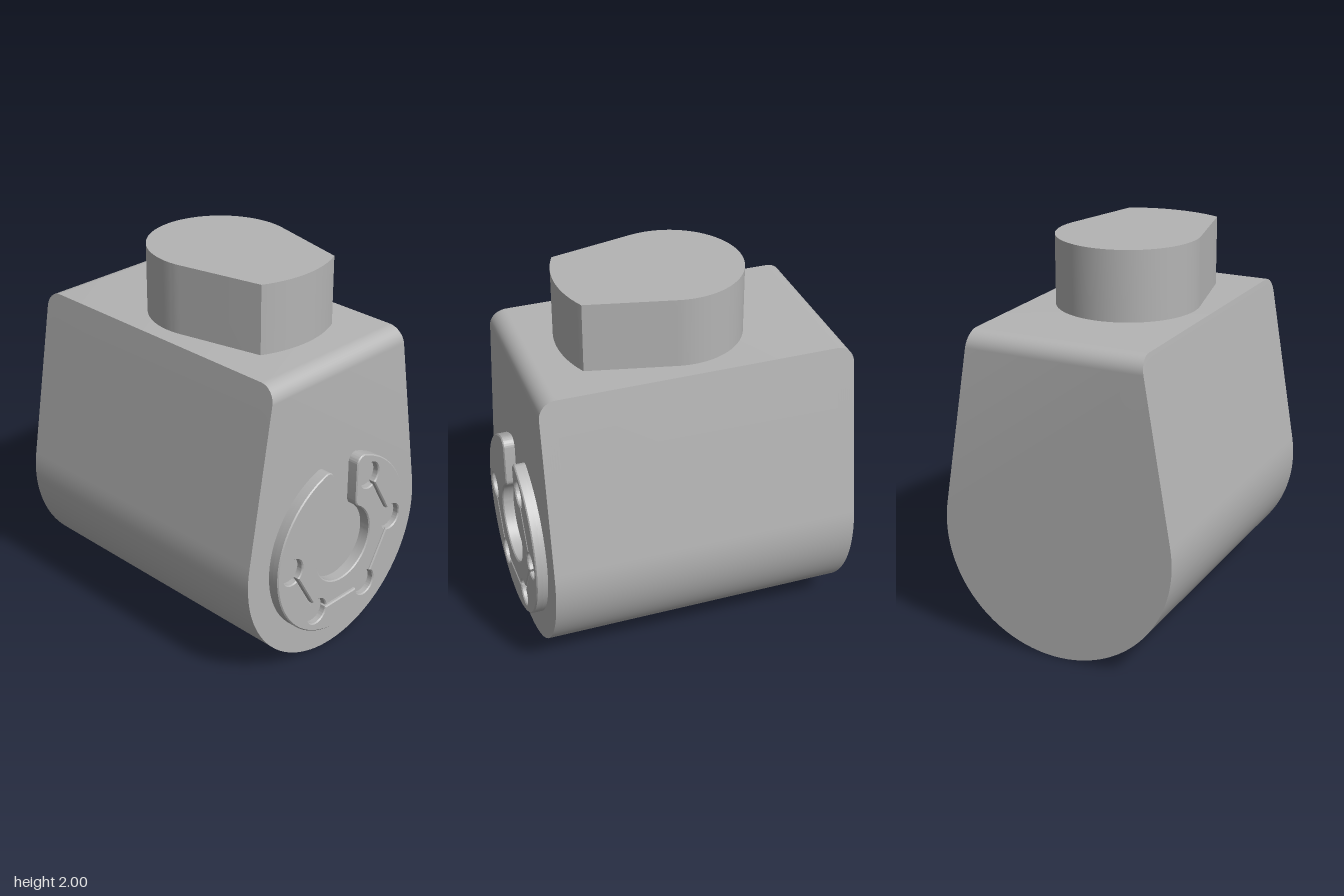
import * as THREE from 'three';
import { toCreasedNormals } from 'three/addons/utils/BufferGeometryUtils.js';

const CY = 0.624;          // height of the round axis
const FRONT = 0.775, BACK = -0.835, TOP = 1.64;

// Tapered barrel: round underside, straight sides, front and back top edges rounded
function bodyGeometry() {
  const r = 0.624, half = 0.46, fillet = 0.085, arcN = 72, filletN = 10;
  const rise = TOP - CY;
  const tangent = Math.atan2(rise, half) - Math.acos(r / Math.hypot(half, rise));
  const tx = r * Math.cos(tangent), ty = CY + r * Math.sin(tangent);
  const sections = [];
  for (let i = 0; i <= filletN; i++) {
    const a = (i / filletN) * Math.PI / 2;
    sections.push([BACK + fillet * (1 - Math.cos(a)), TOP - fillet * (1 - Math.sin(a))]);
  }
  for (let i = filletN; i >= 0; i--) {
    const a = (i / filletN) * Math.PI / 2;
    sections.push([FRONT - fillet * (1 - Math.cos(a)), TOP - fillet * (1 - Math.sin(a))]);
  }
  const pos = [], index = [], n = arcN + 3;
  for (const [z, h] of sections) {
    const x = half + (tx - half) * (TOP - h) / (TOP - ty);
    pos.push(-x, h, z);
    for (let i = 0; i <= arcN; i++) {
      const a = Math.PI - tangent + (i / arcN) * (Math.PI + 2 * tangent);
      pos.push(r * Math.cos(a), CY + r * Math.sin(a), z);
    }
    pos.push(x, h, z);
  }
  for (let s = 0; s < sections.length - 1; s++) {
    for (let i = 0; i < n; i++) {
      const a = s * n + i, b = s * n + (i + 1) % n;
      index.push(a, b, b + n, a, b + n, a + n);
    }
  }
  const last = (sections.length - 1) * n;
  for (let i = 1; i < n - 1; i++) {
    index.push(0, i + 1, i, last, last + i, last + i + 1);
  }
  const g = new THREE.BufferGeometry();
  g.setAttribute('position', new THREE.Float32BufferAttribute(pos, 3));
  g.setIndex(index);
  return toCreasedNormals(g, 0.5);
}

// Keyhole-like outline of the neck, drawn with y pointing to the back
function neckShape() {
  const r = 0.368, cy = 0.035, ex = 0.255, ey = 0.525;
  const end = Math.atan2(ey, ex), R = Math.hypot(ex, ey);
  const t = end - Math.acos(r / R);
  const s = new THREE.Shape();
  s.absarc(0, cy, r, -t, Math.PI + t, false);
  s.absarc(0, cy, R, Math.PI + end, 2 * Math.PI - end, false);
  s.closePath();
  return s;
}

// Open ring with a slot at the top and rounded slot corners
function ringShape() {
  const R = 0.478, r = 0.202, slot = 0.087, f = 0.045, g = 0.05;
  const fx = slot + f, fy = Math.sqrt((R - f) ** 2 - fx ** 2), A = Math.atan2(fy, fx);
  const gx = slot + g, gy = Math.sqrt((r + g) ** 2 - gx ** 2), B = Math.atan2(gy, gx);
  const s = new THREE.Shape();
  s.absarc(0, 0, R, Math.PI - A, 2 * Math.PI + A, false);
  s.absarc(fx, fy, f, A, Math.PI, false);
  s.absarc(gx, gy, g, Math.PI, Math.PI + B, false);
  s.absarc(0, 0, r, B, Math.PI - B, true);
  s.absarc(-gx, gy, g, -B, 0, false);
  s.absarc(-fx, fy, f, 0, Math.PI - A, false);
  s.closePath();
  return s;
}

// Five round pockets joined by narrow channels, as one closed outline
function pocketPath() {
  const r = 0.068, w = 0.006, beta = Math.asin(w / r);
  const c = [60, 0, -60, -120, -180].map(d => {
    const a = THREE.MathUtils.degToRad(d);
    return new THREE.Vector2(0.37 * Math.cos(a), 0.37 * Math.sin(a));
  });
  const walk = [0, 1, 2, 3, 4, 3, 2, 1];
  const p = new THREE.Path();
  walk.forEach((k, i) => {
    const prev = c[walk[(i + 7) % 8]], next = c[walk[(i + 1) % 8]], o = c[k];
    const a0 = Math.atan2(prev.y - o.y, prev.x - o.x) + beta;
    let a1 = Math.atan2(next.y - o.y, next.x - o.x) - beta;
    while (a1 <= a0) a1 += 2 * Math.PI;
    while (a1 > a0 + 2 * Math.PI) a1 -= 2 * Math.PI;
    p.absarc(o.x, o.y, r, a0, a1, false);
  });
  p.closePath();
  return p;
}

function extrude(shape, options) {
  return toCreasedNormals(
    new THREE.ExtrudeGeometry(shape, { bevelEnabled: false, curveSegments: 32, ...options }), 0.5);
}

export function createModel() {
  const model = new THREE.Group();
  const grey = new THREE.MeshStandardMaterial({ color: 0xb4b4b4 });
  grey.name = 'plain grey';
  const add = (name, geometry, x = 0, y = 0, z = 0) => {
    const mesh = new THREE.Mesh(geometry, grey);
    mesh.name = name;
    mesh.position.set(x, y, z);
    model.add(mesh);
  };

  add('body', bodyGeometry());

  // Neck standing on the flat top
  const neck = extrude(neckShape(), { depth: 2 - TOP + 0.02, curveSegments: 48 });
  neck.rotateX(-Math.PI / 2);
  add('neck', neck, 0, TOP - 0.02, 0);

  // Front ring: solid backing plus a chamfered face layer with pockets
  add('ringBase', extrude(ringShape(), { depth: 0.03 }), 0, CY, FRONT - 0.005);
  const face = ringShape();
  face.holes.push(pocketPath());
  const b = 0.006;
  add('ringFace', extrude(face, {
    depth: 0.035, bevelEnabled: true, bevelSegments: 1,
    bevelSize: b, bevelThickness: b, bevelOffset: -b,
  }), 0, CY, FRONT + 0.06 - 0.035 - b);

  return model;
}
